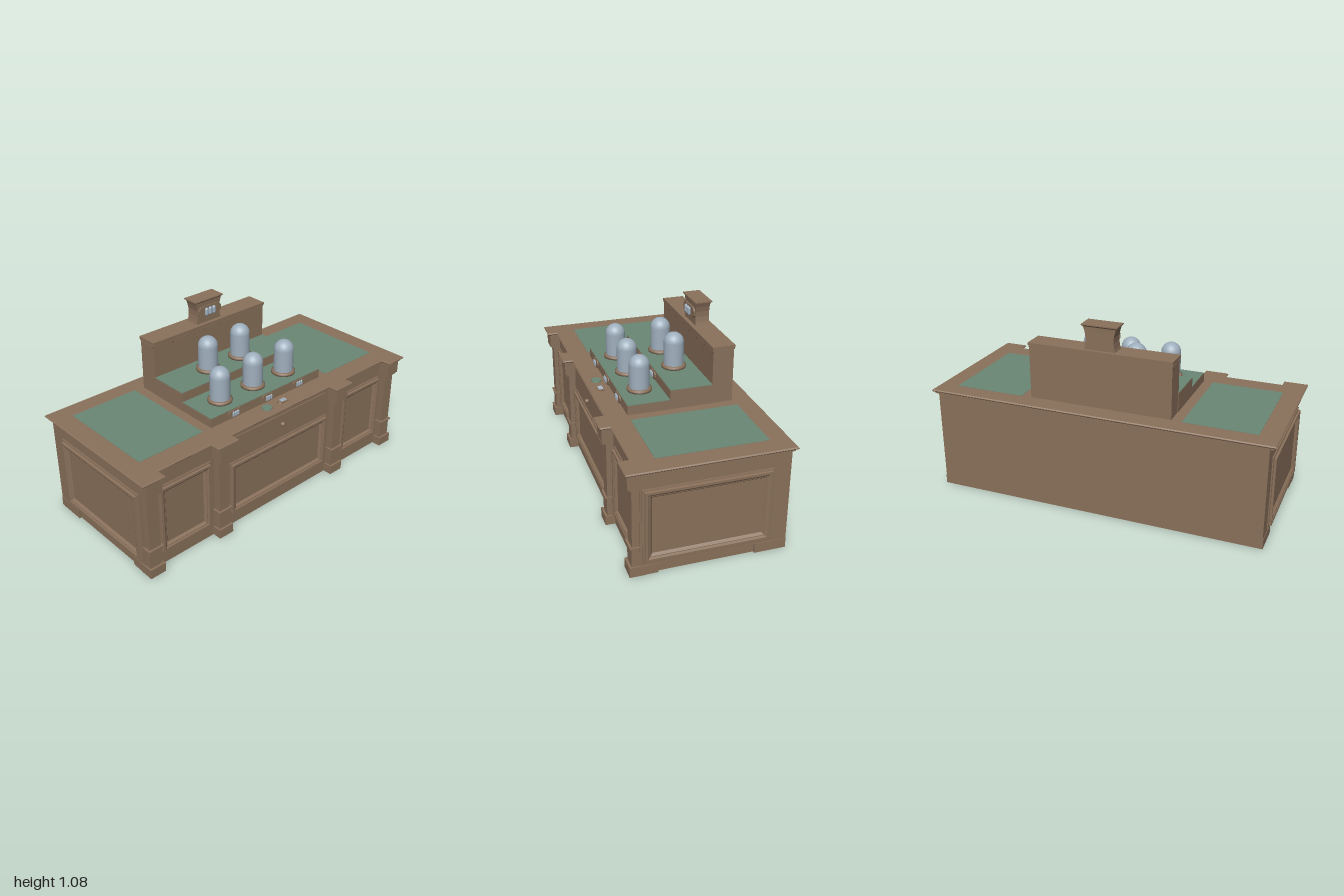
import * as THREE from 'three';

const mat = (name, color) => {
  const m = new THREE.MeshStandardMaterial({ color });
  m.name = name;
  return m;
};

export function createModel() {
  const wood = mat('wood', 0x8a715b);
  const felt = mat('green inlay', 0x6b8876);
  const glass = mat('glass', 0xa0b0be);
  const model = new THREE.Group();

  const add = (name, geo, material, parent = model, x = 0, y = 0, z = 0) => {
    const m = new THREE.Mesh(geo, material);
    m.name = name;
    m.position.set(x, y, z);
    parent.add(m);
    return m;
  };
  // Box given by its limits on each axis
  const box = (name, x0, x1, y0, y1, z0, z1, material = wood, parent = model) =>
    add(name, new THREE.BoxGeometry(x1 - x0, y1 - y0, z1 - z0), material, parent,
      (x0 + x1) / 2, (y0 + y1) / 2, (z0 + z1) / 2);

  // Stack of rectangles [width, height, z] joined into a solid, closed at the last one
  const rectLoft = (rings) => {
    const p = [];
    const corner = ([w, h, z], j) => [[-1, -1], [1, -1], [1, 1], [-1, 1]][j % 4]
      .map((s, k) => s * (k ? h : w) / 2).concat(z);
    const quad = (a, b, c, d) => p.push(...a, ...b, ...c, ...a, ...c, ...d);
    for (let i = 0; i < rings.length - 1; i++) {
      for (let j = 0; j < 4; j++) {
        quad(corner(rings[i], j), corner(rings[i], j + 1),
          corner(rings[i + 1], j + 1), corner(rings[i + 1], j));
      }
    }
    quad(...[0, 1, 2, 3].map((j) => corner(rings[rings.length - 1], j)));
    const g = new THREE.BufferGeometry();
    g.setAttribute('position', new THREE.Float32BufferAttribute(p, 3));
    g.computeVertexNormals();
    return g;
  };
  // Moulded panel frame around a sunken field, facing +z
  const panelProfile = [[0, 0], [0, 0.006], [0.011, 0.008], [0.013, 0.02],
    [0.026, 0.02], [0.036, 0.014], [0.04, 0.014], [0.051, 0.001]];
  const panel = (name, w, h, x, y, z) => add(name, rectLoft(panelProfile.map(
    ([inset, out]) => [w - 2 * inset, h - 2 * inset, out])), wood, model, x, y, z);

  // Desk walls, open underneath
  box('backWall', -0.965, 0.965, 0, 0.59, -0.425, -0.405);
  box('frontWall', -0.96, 0.96, 0, 0.59, 0.345, 0.365);
  for (const s of [-1, 1]) {
    const side = (name, a, b, y0, y1, z0, z1) =>
      box(name, Math.min(s * a, s * b), Math.max(s * a, s * b), y0, y1, z0, z1);
    side('sideWall', 0.94, 0.965, 0.055, 0.59, -0.425, 0.365);
    side('sideToeBoard', 0.94, 0.955, 0, 0.055, -0.25, 0.27);
    side('sideFrontFoot', 0.94, 0.968, 0, 0.055, 0.27, 0.365);
    side('sideBackFoot', 0.94, 0.968, 0, 0.055, -0.425, -0.25);
    panel('sidePanel', 0.688, 0.425, s * 0.965, 0.285, 0.011).rotation.y = s * Math.PI / 2;
    panel('frontSidePanel', 0.353, 0.422, s * 0.69, 0.286, 0.365);
  }
  panel('frontCentrePanel', 0.77, 0.342, 0, 0.244, 0.365);

  // Drawer and knob
  box('drawerBox', -0.4, 0.4, 0.45, 0.585, 0.1, 0.345);
  box('drawerFront', -0.372, 0.372, 0.47, 0.567, 0.36, 0.371);
  add('drawerKnob', new THREE.SphereGeometry(0.014, 16, 12), wood, model, 0, 0.515, 0.388);

  // Pilasters: [half width, bottom, top, front z]
  const pilasterParts = [
    [0.048, 0, 0.055, 0.42], [0.039, 0.055, 0.163, 0.407], [0.047, 0.163, 0.171, 0.417],
    [0.036, 0.171, 0.505, 0.404], [0.042, 0.497, 0.51, 0.417], [0.048, 0.51, 0.59, 0.428],
  ];
  for (const cx of [-0.922, -0.45, 0.45, 0.922]) {
    const g = new THREE.Group();
    g.name = 'pilaster';
    for (const [hw, y0, y1, zf] of pilasterParts) {
      box('pilasterBlock', cx - hw, cx + hw, y0, y1, 0.335, zf, wood, g);
    }
    model.add(g);
  }

  // Counter top that steps forward over each pilaster
  const counter = (name, d, yTop, depth, bevel) => {
    const half = [[0.38, 0.385], [0.38, 0.443], [0.52, 0.443], [0.52, 0.385],
      [0.86, 0.385], [0.86, 0.443], [1, 0.443]];
    const grow = [1, 1, -1, -1, 1, 1, -1];
    const right = half.map(([x, z], i) => [x + d * grow[i], z - d]);
    right.push([1 - d, -0.443 + d]);
    const left = right.map(([x, z]) => [-x, z]).reverse();
    const shape = new THREE.Shape([...right, ...left].map((q) => new THREE.Vector2(...q)));
    const geo = new THREE.ExtrudeGeometry(shape, { depth, bevelEnabled: bevel > 0,
      bevelSize: bevel, bevelThickness: bevel, bevelSegments: 1 });
    geo.rotateX(Math.PI / 2);
    add(name, geo, wood, model, 0, yTop - bevel, 0);
  };
  counter('counterMoulding', 0.013, 0.598, 0.013, 0);
  counter('counterTop', 0.005, 0.61, 0.003, 0.005);
  for (const s of [-1, 1]) {
    box('counterInlay', s * 0.682 - 0.207, s * 0.682 + 0.207, 0.608, 0.6115, -0.335, 0.265, felt);
  }

  // Stepped stand with green treads
  box('lowerStep', -0.418, 0.418, 0.605, 0.662, 0.02, 0.266);
  box('lowerTread', -0.416, 0.416, 0.66, 0.665, 0.028, 0.264, felt);
  box('upperStep', -0.418, 0.418, 0.605, 0.718, -0.22, 0.028);
  box('upperTread', -0.416, 0.416, 0.716, 0.721, -0.211, 0.026, felt);

  // Tall back with a cap and scalloped trim
  box('standBack', -0.415, 0.415, 0.605, 0.925, -0.328, -0.211);
  box('standCap', -0.42, 0.42, 0.921, 0.936, -0.334, -0.206);
  box('standCapMoulding', -0.417, 0.417, 0.912, 0.921, -0.331, -0.208);
  const scallop = new THREE.Shape();
  scallop.absellipse(0, 0, 0.054, 0.036, Math.PI, Math.PI * 2);
  const scallopGeo = new THREE.ExtrudeGeometry(scallop,
    { depth: 0.004, bevelEnabled: false, curveSegments: 10 });
  for (let i = -3; i <= 3; i++) add('frontScallop', scallopGeo, wood, model, i * 0.118, 0.914, -0.211);
  for (const s of [-1, 1]) {
    add('sideScallop', scallopGeo, wood, model, s * 0.415, 0.914, -0.27).rotation.y = s * Math.PI / 2;
  }

  // Flared crest on the back: [width, depth, height]
  const crest = [[0.18, 0.082, 0], [0.17, 0.082, 0.02], [0.162, 0.082, 0.05], [0.164, 0.082, 0.08],
    [0.176, 0.082, 0.108], [0.19, 0.084, 0.128], [0.194, 0.096, 0.134], [0.206, 0.1, 0.136],
    [0.206, 0.1, 0.142]];
  const crestGeo = rectLoft(crest);
  crestGeo.rotateX(-Math.PI / 2);
  add('crest', crestGeo, wood, model, 0, 0.935, -0.271);

  // Counter display: eight-sided plate with three glass cells
  const gauge = (w, h, x, y, z, tilt = 0) => {
    const g = new THREE.Group();
    g.name = 'display';
    const a = w / 2, b = h / 2, c = h * 0.3;
    const pts = [[-a + c, -b], [a - c, -b], [a, -b + c], [a, b - c],
      [a - c, b], [-a + c, b], [-a, b - c], [-a, -b + c]];
    const plate = new THREE.ExtrudeGeometry(new THREE.Shape(pts.map((q) => new THREE.Vector2(...q))),
      { depth: h * 0.12, bevelEnabled: true, bevelSize: -h * 0.06, bevelThickness: h * 0.06, bevelSegments: 1 });
    add('displayPlate', plate, wood, g);
    const cw = w * 0.165, r = cw * 0.45;
    for (let i = -1; i <= 1; i++) {
      add('displayCell', new THREE.CapsuleGeometry(r, h * 0.72 - 2 * r, 4, 10), glass, g, i * cw, 0, h * 0.2);
    }
    g.position.set(x, y, z);
    g.rotation.x = tilt;
    model.add(g);
  };
  gauge(0.165, 0.07, 0, 1.005, -0.23);
  for (const x of [-0.25, 0, 0.243]) gauge(0.1, 0.046, x, 0.638, 0.266);
  for (const x of [-0.125, 0.119]) gauge(0.1, 0.046, x, 0.693, 0.028);
  gauge(0.08, 0.04, 0.063, 0.611, 0.322, -Math.PI / 2);

  // Green button on the counter
  add('button', new THREE.CylinderGeometry(0.028, 0.03, 0.008, 20), felt, model, -0.055, 0.614, 0.317);

  // Glass bells on turned wooden rings
  const ringGeo = new THREE.LatheGeometry([[0, 0], [0.07, 0], [0.07, 0.013], [0.063, 0.015],
    [0.061, 0.02], [0, 0.02]].map((q) => new THREE.Vector2(...q)), 20);
  const bellPts = [new THREE.Vector2(0.057, 0)];
  for (let i = 0; i <= 10; i++) {
    const t = i / 10 * Math.PI / 2;
    bellPts.push(new THREE.Vector2(0.057 * Math.cos(t), 0.129 + 0.057 * Math.sin(t)));
  }
  const bellGeo = new THREE.LatheGeometry(bellPts, 28);
  const bells = [[-0.25, 0.664, 0.147], [-0.004, 0.664, 0.147], [0.24, 0.664, 0.147],
    [-0.127, 0.72, -0.092], [0.118, 0.72, -0.092]];
  for (const [x, y, z] of bells) {
    add('bellRing', ringGeo, wood, model, x, y, z);
    add('glassBell', bellGeo, glass, model, x, y + 0.02, z);
  }
  return model;
}
